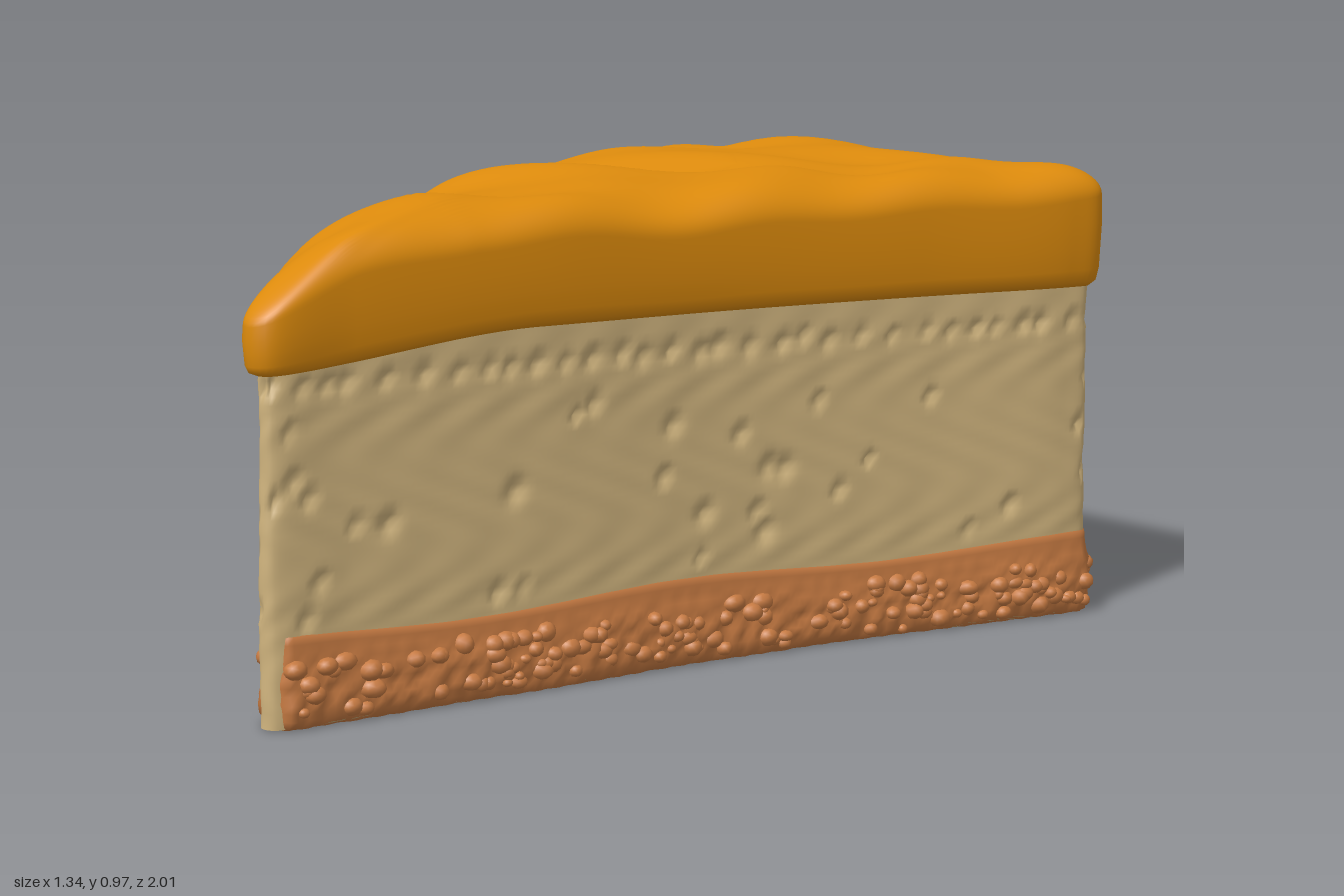
import * as THREE from 'three';
import { mergeGeometries } from 'three/addons/utils/BufferGeometryUtils.js';

const N = 420; // points around the slice
const { smoothstep, lerp } = THREE.MathUtils;

// Wedge outline as [x, z], counter-clockwise seen from above
const OUTLINE = [
  [-0.66, -0.92], [-0.6, -0.7], [-0.5, -0.43], [-0.4, -0.2], [-0.26, 0.03], [-0.17, 0.23],
  [0, 0.5], [0.1, 0.72], [0.24, 0.89], [0.33, 0.99], [0.38, 0.975], [0.405, 0.8], [0.45, 0.4],
  [0.495, -0.05], [0.57, -0.48], [0.65, -0.84], [0.65, -0.92], [0.58, -0.97], [0, -1],
  [-0.5, -0.975], [-0.64, -0.95],
];
const CENTRE = { x: 0.15, z: -0.35 };

function seeded(seed) {
  return () => {
    seed = (seed * 1664525 + 1013904223) % 4294967296;
    return seed / 4294967296;
  };
}

// Piecewise linear lookup in [key, value] pairs
function lookup(table, k) {
  for (let i = 1; i < table.length; i++) {
    const [a, va] = table[i - 1], [b, vb] = table[i];
    if (k <= b) return lerp(va, vb, Math.max(0, (k - a) / (b - a)));
  }
  return table[table.length - 1][1];
}

// Evenly spaced outline points with outward normals
function sampleOutline() {
  const curve = new THREE.CatmullRomCurve3(OUTLINE.map(([x, z]) => new THREE.Vector3(x, 0, z)), true);
  const pts = curve.getSpacedPoints(N).slice(0, N);
  const length = curve.getLength();
  return pts.map((p, i) => {
    const t = pts[(i + 1) % N].clone().sub(pts[(i + N - 1) % N]).normalize();
    return { x: p.x, z: p.z, nx: -t.z, nz: t.x, s: (i / N) * length };
  });
}

// Skin between closed rings; at(point, ring) returns [x, y, z], rings run from below to above
function loft(outline, rings, at) {
  const pos = [], index = [];
  for (let j = 0; j < rings; j++) for (const p of outline) pos.push(...at(p, j));
  for (let j = 0; j < rings - 1; j++) {
    for (let i = 0; i < N; i++) {
      const k = (i + 1) % N;
      const a = j * N + i, b = j * N + k, c = b + N, d = a + N;
      index.push(a, b, c, a, c, d);
    }
  }
  const g = new THREE.BufferGeometry();
  g.setAttribute('position', new THREE.Float32BufferAttribute(pos, 3));
  g.setIndex(index);
  g.computeVertexNormals();
  return g;
}

const inset = (p, d, y) => [p.x - p.nx * d, y, p.z - p.nz * d];
const toCentre = (p, t) => [lerp(CENTRE.x, p.x, t), lerp(CENTRE.z, p.z, t)];

export function createModel() {
  const group = new THREE.Group();
  const outline = sampleOutline();
  const length = outline[N - 1].s;
  const rand = seeded(11);
  const material = (name, color) => {
    const m = new THREE.MeshStandardMaterial({ color });
    m.name = name;
    return m;
  };
  const orange = material('orange glaze', 0xdc8a0c);
  const cream = material('cream', 0xd0b47e);
  const biscuit = material('biscuit', 0xc67a42);
  const add = (name, geometry, mat) => {
    const mesh = new THREE.Mesh(geometry, mat);
    mesh.name = name;
    group.add(mesh);
  };

  // Topping: bulging rim, then a gently rippled dome that slopes to the tip
  const crest = [[-1, 0.975], [-0.7, 0.96], [0, 0.95], [0.55, 0.94], [0.8, 0.9], [1, 0.83]];
  const ripple = (x, z) =>
    0.011 * Math.sin(9 * x + 5 * z + 2 * Math.sin(4 * z)) + 0.009 * Math.sin(13 * z - 6 * x + 1.5 * Math.sin(7 * x)) +
    0.005 * Math.sin(19 * x + 17 * z);
  const hem = (p) => 0.7 + 0.012 * Math.sin(p.z * 3.2 + 1) * smoothstep(-p.x, -0.2, 0.2) - 0.05 * smoothstep(p.z, 0.4, 1);
  const rim = [[0.06, 0.1], [0.022, 0], [0.008, 0.06], [0.002, 0.2], [0, 0.45], [-0.002, 0.7]];
  const domeRings = 34;
  add('topping', loft(outline, rim.length + domeRings, (p, j) => {
    const low = hem(p);
    const rimTop = lookup(crest, p.z) - 0.09 + 0.5 * ripple(p.x, p.z);
    if (j < rim.length) return inset(p, rim[j][0], lerp(low, rimTop, rim[j][1]));
    const t = Math.cos(((j - rim.length) / (domeRings - 1)) * Math.PI / 2);
    const [x, z] = toCentre(p, t);
    const drop = 0.09 * (1 - Math.sqrt(Math.max(0, 1 - t ** 5)));
    return [x, lookup(crest, z) - drop + ripple(x, z) * (1 - 0.5 * t ** 5), z];
  }), orange);

  // Filling: smooth wall dented by air pits, with a row of them below the topping
  const pits = [];
  for (let s = 0; s < length; s += 0.035 + 0.05 * rand()) {
    pits.push({ s, y: 0.63 + 0.012 * (rand() - 0.5), r: 0.012 + 0.008 * rand() });
  }
  for (let i = 0; i < 90; i++) {
    pits.push({ s: rand() * length, y: 0.2 + 0.36 * rand() ** 1.6, r: 0.011 + 0.013 * rand() });
  }
  const wallRings = 50;
  add('filling', loft(outline, wallRings, (p, j) => {
    const y = 0.006 + (0.724 * j) / (wallRings - 1);
    let d = 0.02 + 0.006 * smoothstep(y, 0.2, 0.6) + 0.0015 * Math.sin(p.s * 43 + 5 * Math.sin(y * 16)) * Math.sin(y * 37);
    for (const pit of pits) {
      const q = ((p.s - pit.s) ** 2 + (y - pit.y) ** 2) / pit.r ** 2;
      if (q < 4) d += 0.016 * Math.exp(-q * 1.6);
    }
    return inset(p, d, y);
  }), cream);

  // Underside: pebbled sheet
  const floorRings = 36;
  add('underside', loft(outline, floorRings, (p, j) => {
    const t = j / (floorRings - 1);
    const [x, z] = toCentre(p, t * 0.985);
    const bump = Math.sin(61 * x + 3 * Math.sin(23 * z)) * Math.sin(57 * z + 3 * Math.sin(27 * x));
    return [x, 0.009 + 0.004 * bump, z];
  }), cream);

  // Biscuit base: lumpy band that thins out at the tip so the filling shows there
  const tipFade = (p) => smoothstep(p.z, 0.94, 0.985);
  const band = [
    [0.035, 0.006], [0.016, 0.004], [0.008, 0.02], [0.005, 0.035], [0.004, 0.05], [0.005, 0.065], [0.006, 0.08],
    [0.006, 0.095], [0.008, 0.11], [0.011, 0.125], [0.014, 0.14], [0.016, 0.155], [0.017, 0.168], [0.028, 0.174],
  ];
  add('biscuitBase', loft(outline, band.length, (p, j) => {
    const [d, y] = band[j];
    const lump = 0.006 * Math.sin(p.s * 71 + 3 * Math.sin(y * 60)) * Math.sin(y * 75 + 4 * Math.sin(p.s * 19));
    const rough = 1 - smoothstep(y, 0.1, 0.15);
    const wave = 0.008 * Math.sin(p.s * 6.5) * (y / 0.17);
    return inset(p, d + lump * rough + 0.04 * tipFade(p), y + wave);
  }), biscuit);

  // Crumbs pressed into the base
  const crumbs = [];
  for (let i = 0; i < 420; i++) {
    const p = outline[Math.floor(rand() * N)];
    const r = 0.01 + 0.015 * rand();
    const y = r + 0.004 + (0.115 - r) * rand();
    const depth = r * (0.45 + 0.35 * rand());
    const stretch = 0.8 + 0.5 * rand(), turn = rand() * 6.28;
    if (p.z > 0.93) continue;
    const g = new THREE.IcosahedronGeometry(r, 1);
    g.scale(stretch, 0.85, 1).rotateY(turn).translate(...inset(p, depth, y));
    crumbs.push(g);
  }
  add('crumbs', mergeGeometries(crumbs), biscuit);

  return group;
}
